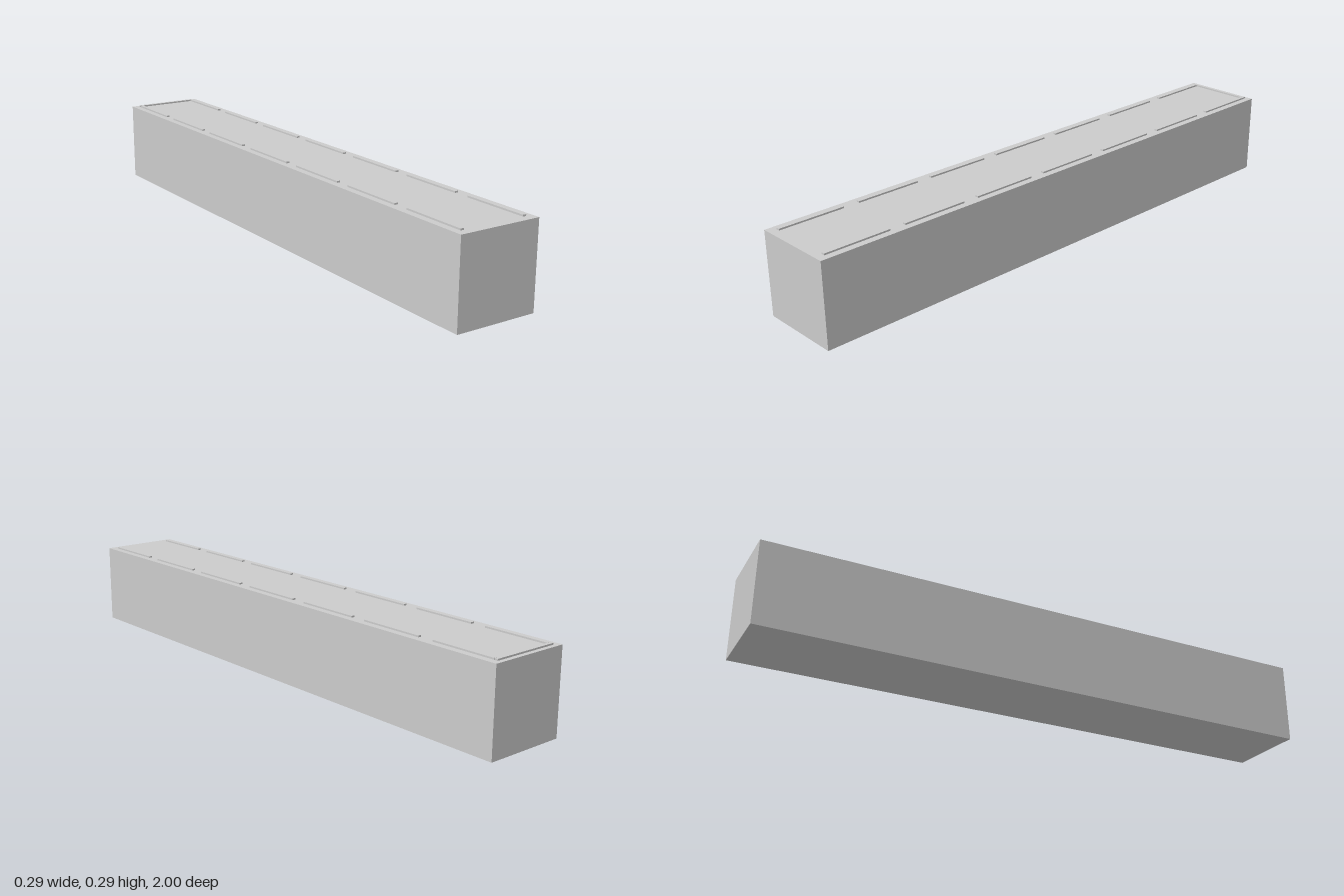
import * as THREE from 'three';

export function createModel() {
  const model = new THREE.Group();
  const material = new THREE.MeshStandardMaterial({ color: 0xcccccc, flatShading: true });
  const tiles = 7;
  const tile = 2 / tiles; // the beam is a row of cubes this size
  const ridgeH = 0.0055, ridgeW = 0.012;

  function addBox(name, w, h, d, x, y, z) {
    const mesh = new THREE.Mesh(new THREE.BoxGeometry(w, h, d), material);
    mesh.name = name;
    mesh.position.set(x, y + h / 2, z);
    model.add(mesh);
  }

  // Long square beam
  addBox('beam', tile, tile, 2, 0, 0, 0);

  // Dashed raised edge lines, one dash per tile on both sides
  for (let i = 0; i < tiles; i++) {
    const z = 1 - tile * (i + 0.5);
    for (const side of [-1, 1]) {
      addBox(side > 0 ? 'leftEdgeRidge' : 'rightEdgeRidge',
        ridgeW, ridgeH, 0.23, side * 0.114, tile, z);
    }
  }

  // Raised strip across the back end
  addBox('backEndRidge', 0.24, ridgeH, ridgeW, 0, tile, -0.979);

  return model;
}
